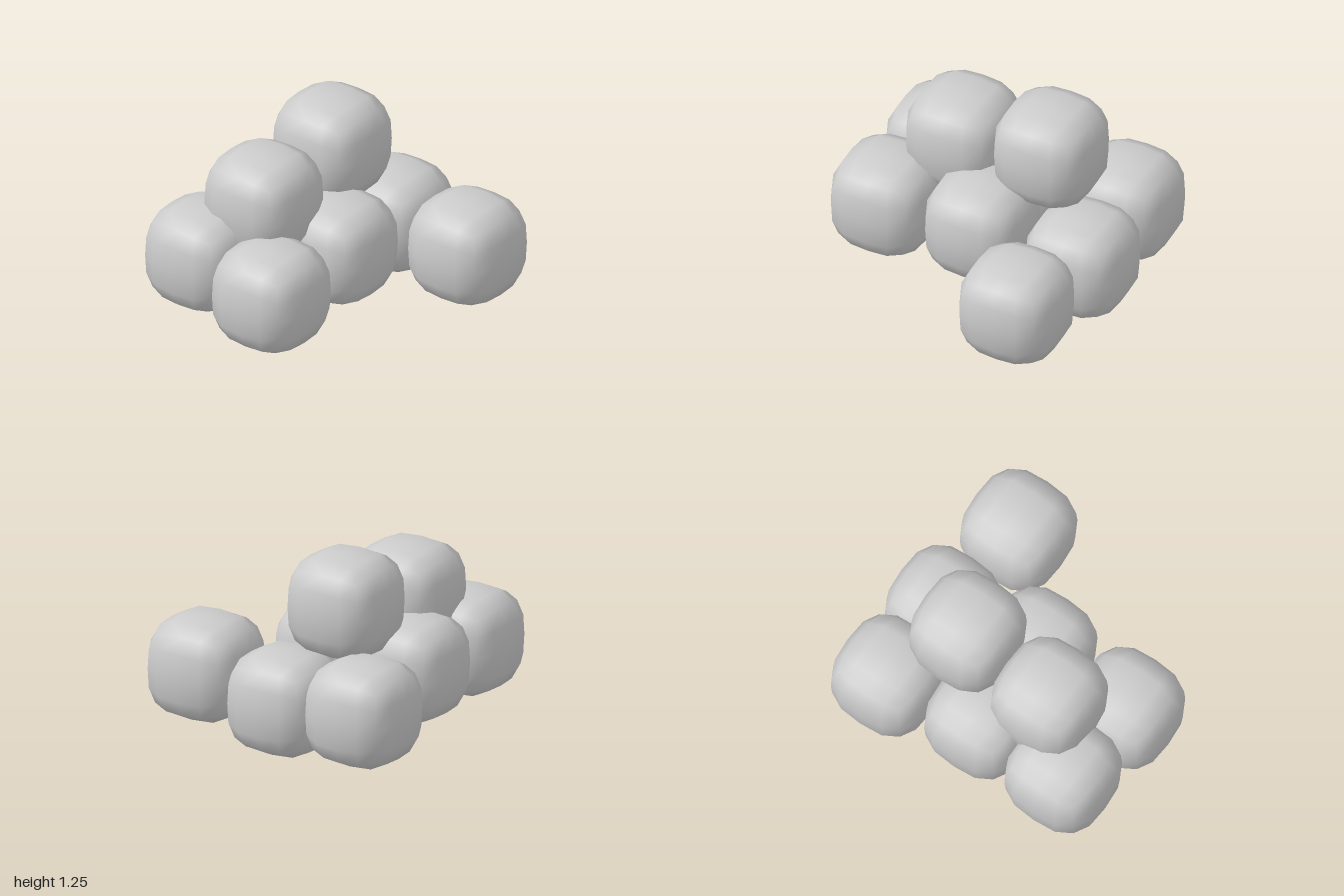
import * as THREE from 'three';
import { mergeVertices } from 'three/addons/utils/BufferGeometryUtils.js';

const RADIUS = 0.332;
const POWER = 3; // 2 would be a sphere, large values a cube

// Rounded cube: a gridded box pushed onto a superellipsoid, with smooth normals
function puffGeometry() {
  let geo = new THREE.BoxGeometry(2, 2, 2, 4, 4, 4);
  geo.deleteAttribute('normal');
  geo.deleteAttribute('uv');
  geo = mergeVertices(geo);
  const pos = geo.attributes.position;
  const v = new THREE.Vector3();
  for (let i = 0; i < pos.count; i++) {
    v.fromBufferAttribute(pos, i);
    const norm = v.toArray().reduce((s, c) => s + Math.abs(c) ** POWER, 0) ** (1 / POWER);
    v.multiplyScalar(RADIUS / norm);
    pos.setXYZ(i, v.x, v.y, v.z);
  }
  geo.computeVertexNormals();
  return geo;
}

// Centres of the puffs, row by row
const rows = {
  backPuff: [[-0.6, 0.44, -0.55], [0.01, 0.46, -0.55], [0.665, 0.387, -0.63]],
  middlePuff: [[-0.668, 0.387, 0.04], [0, 0.435, 0.04], [0.665, 0.335, -0.045]],
  frontPuff: [[0.56, 0.387, 0.622]],
  topPuff: [[-0.32, 0.79, -0.3], [0.322, 0.922, -0.268]],
};

export function createModel() {
  const group = new THREE.Group();
  group.name = 'puffCluster';
  const geometry = puffGeometry();
  const material = new THREE.MeshStandardMaterial({ color: 0xcccccc });
  for (const [name, centres] of Object.entries(rows)) {
    centres.forEach((c, i) => {
      const puff = new THREE.Mesh(geometry, material);
      puff.name = name + (i + 1);
      puff.position.set(...c);
      group.add(puff);
    });
  }
  return group;
}
